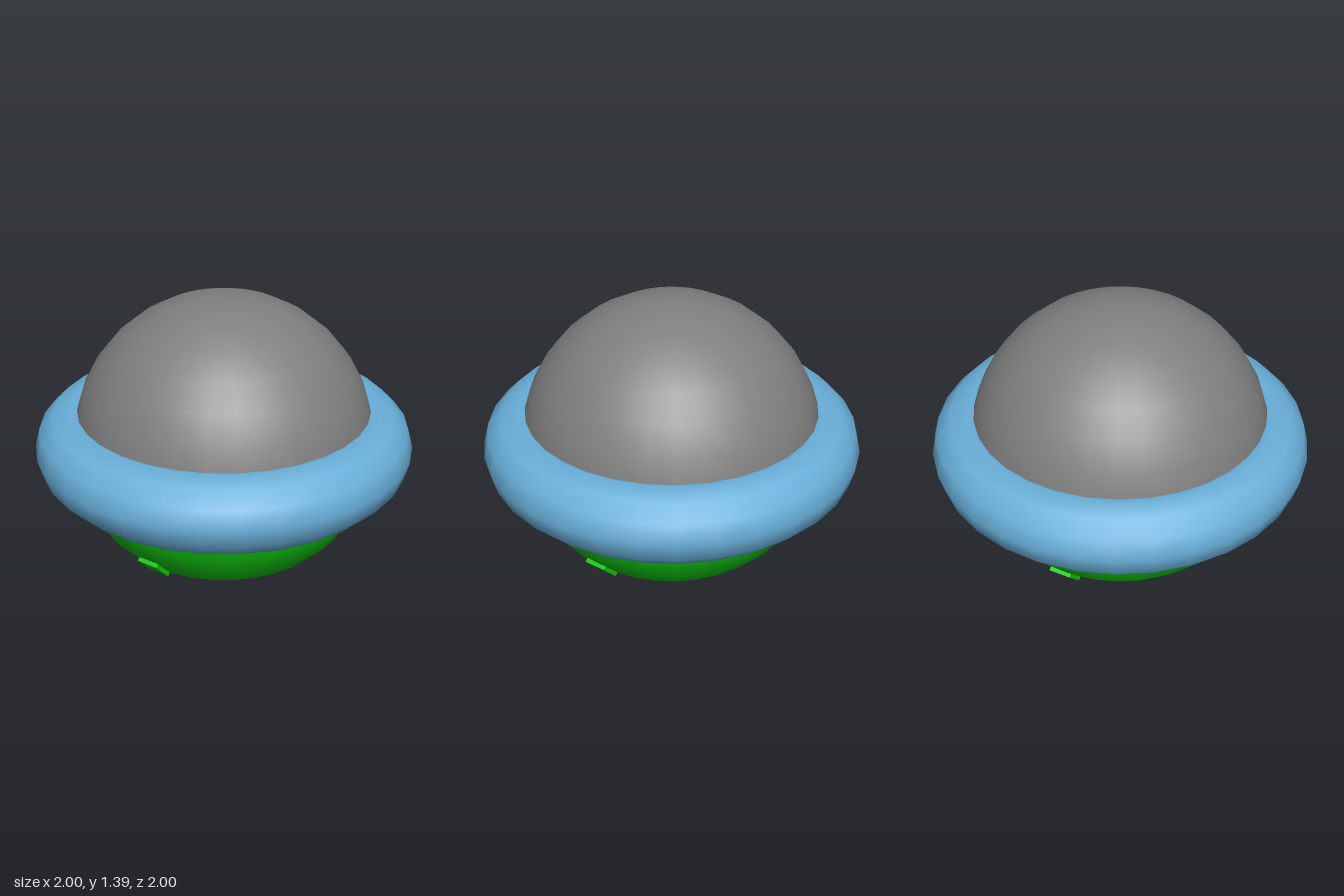
import * as THREE from 'three';

const mat = (name, color) => Object.assign(new THREE.MeshStandardMaterial({ color }), { name });

export function createModel() {
  const group = new THREE.Group();
  const grey = mat('dome grey', 0x7f7f7f);
  const blue = mat('ring blue', 0x69afd9);
  const green = mat('hull green', 0x0fc50f);
  const midY = 0.595;

  const add = (name, geometry, material, y = 0) => {
    const mesh = new THREE.Mesh(geometry, material);
    mesh.name = name;
    mesh.position.y = y;
    group.add(mesh);
    return mesh;
  };

  // Upper half sphere
  add('dome', new THREE.SphereGeometry(0.8, 32, 8, 0, Math.PI * 2, 0, Math.PI / 2), grey, midY);

  // Thick ring around the middle
  add('ring', new THREE.TorusGeometry(0.8, 0.2, 12, 32).rotateX(Math.PI / 2), blue, midY);

  // Lower bowl with a flattened underside
  const profile = [
    [0, 0], [0.156, 0.001], [0.306, 0.005], [0.444, 0.018], [0.566, 0.058],
    [0.665, 0.156], [0.739, 0.292], [0.785, 0.44], [0.8, midY],
  ].map(([r, y]) => new THREE.Vector2(r, y));
  add('lowerHull', new THREE.LatheGeometry(profile, 32), green);

  // Three small pads set into the slope of the bowl
  const slope = Math.atan2(0.095, 0.1);
  for (const degrees of [15, 130, 251]) {
    const pad = new THREE.BoxGeometry(0.05, 0.138, 0.12)
      .translate(-0.025, 0, 0)
      .rotateZ(-slope)
      .translate(0.634, 0.1, 0)
      .rotateY(-THREE.MathUtils.degToRad(degrees));
    add('landingPad', pad, green);
  }
  return group;
}
